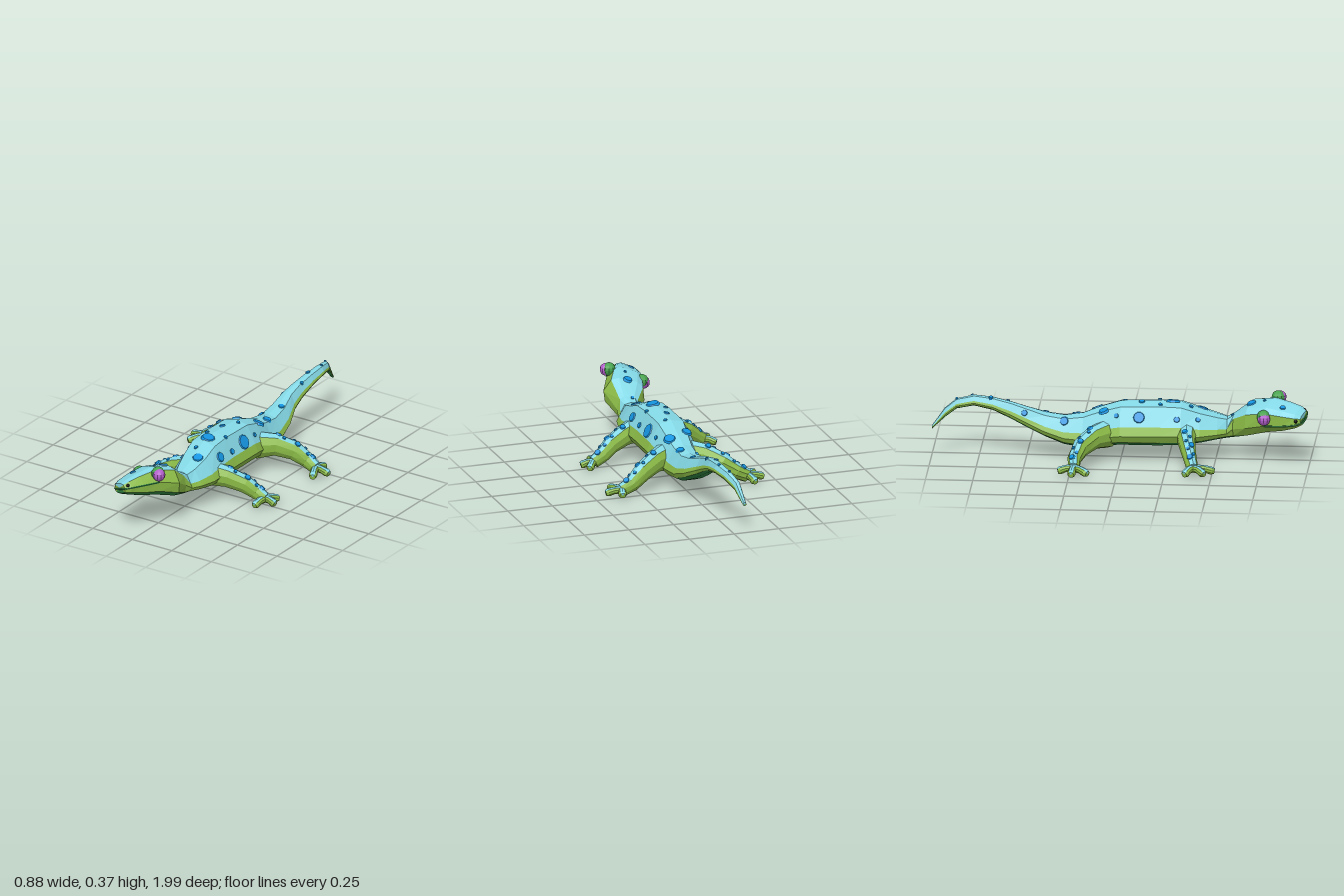
import * as THREE from 'three';

const mat = (color) => new THREE.MeshStandardMaterial({ color, flatShading: true });
const V = (x, y, z) => new THREE.Vector3(x, y, z);

export function createModel() {
  const root = new THREE.Group();
  const blue = mat(0x84d8e6), green = mat(0x8aba46), dark = mat(0x2f8040);
  const spotBlue = mat(0x1494e0), lidGreen = mat(0x45a24c), purple = mat(0xb35fcb), black = mat(0x101010);
  const blueSkins = [];

  const add = (parent, name, geo, material) => {
    const m = new THREE.Mesh(geo, material);
    m.name = name;
    parent.add(m);
    return m;
  };

  // Skin over closed cross-sections; each column of faces takes its own material
  function loft(name, sections, columnMaterial) {
    const g = new THREE.Group();
    g.name = name;
    const n = sections[0].length;
    const centre = (s) => Array(n).fill(s.reduce((a, p) => a.add(p), V(0, 0, 0)).divideScalar(n));
    const rows = [centre(sections[0]), ...sections, centre(sections[sections.length - 1])];
    const byMat = new Map();
    for (let j = 0; j < n; j++) {
      const m = columnMaterial(j), k = (j + 1) % n;
      if (!byMat.has(m)) byMat.set(m, []);
      const out = byMat.get(m);
      for (let i = 0; i + 1 < rows.length; i++) {
        const a = rows[i][j], b = rows[i][k], c = rows[i + 1][k], d = rows[i + 1][j];
        if (!c.equals(d)) out.push(a, d, c);
        if (!a.equals(b)) out.push(a, c, b);
      }
    }
    for (const [m, pts] of byMat) {
      const geo = new THREE.BufferGeometry().setFromPoints(pts);
      geo.computeVertexNormals();
      const part = m === blue ? 'Back' : m === green ? 'Side' : 'Belly';
      const mesh = add(g, name + part, geo, m);
      if (m === blue) blueSkins.push(mesh);
    }
    root.add(g);
  }

  // Body from tail tip to snout: x, z, bottom, top, half width, yaw, roll
  const stations = [
    [-0.06, -0.998, 0.152, 0.17, 0.01], [-0.045, -0.93, 0.215, 0.265, 0.02],
    [-0.015, -0.87, 0.255, 0.308, 0.024], [0.005, -0.78, 0.268, 0.324, 0.03],
    [0, -0.68, 0.248, 0.315, 0.037], [-0.01, -0.58, 0.205, 0.295, 0.043],
    [-0.015, -0.5, 0.165, 0.272, 0.054], [-0.005, -0.4, 0.115, 0.24, 0.078],
    [0, -0.3, 0.075, 0.225, 0.09], [0, -0.2, 0.06, 0.24, 0.1],
    [0, -0.1, 0.075, 0.28, 0.12], [-0.005, 0, 0.085, 0.312, 0.138],
    [-0.005, 0.2, 0.085, 0.318, 0.138], [0, 0.32, 0.09, 0.312, 0.14],
    [0.01, 0.42, 0.1, 0.275, 0.13], [0.018, 0.51, 0.115, 0.245, 0.1],
    [0.02, 0.56, 0.12, 0.23, 0.068], [0.02, 0.6, 0.125, 0.25, 0.063, -0.15, 0.08],
    [0.01, 0.69, 0.15, 0.315, 0.112, -0.3, 0.25], [-0.03, 0.795, 0.183, 0.336, 0.1, -0.38, 0.34],
    [-0.064, 0.88, 0.203, 0.322, 0.09, -0.38, 0.34], [-0.088, 0.945, 0.225, 0.305, 0.075, -0.38, 0.34],
    [-0.098, 0.972, 0.238, 0.29, 0.052, -0.38, 0.34],
  ];
  const mirrorRing = (half) => [[0, 1], ...half, ...half.slice().reverse().map(([x, y]) => [-x, y])];
  const bodyRing = mirrorRing([[0.5, 0.93], [0.86, 0.5], [1, 0.3], [0.85, 0.13], [0.4, 0]]);
  const headRing = mirrorRing([[0.45, 0.99], [0.78, 0.87], [1, 0.45], [0.8, 0.12], [0.4, 0]]);
  const sections = stations.map(([x, z, lo, hi, w, yaw = 0, roll = 0]) => {
    const turn = new THREE.Euler(0, yaw, roll, 'YXZ');
    return (yaw ? headRing : bodyRing).map(([u, v]) =>
      V(u * w, (v - 0.5) * (hi - lo), 0).applyEuler(turn).add(V(x, (lo + hi) / 2, z)));
  });
  loft('body', sections, (j) => (j < 2 || j > 8 ? blue : j < 4 || j > 6 ? green : dark));

  // Mouth line round the snout
  const snout = sections.slice(-4);
  const lip = [...snout.map((s) => s[3]), ...snout.slice().reverse().map((s) => s[8])];
  add(root, 'mouth', new THREE.TubeGeometry(new THREE.CatmullRomCurve3(lip, false, 'catmullrom', 0.1), 24, 0.005, 5), dark);

  // Eyes and nostrils
  const ball = (name, x, y, z, r, m) =>
    add(root, name, new THREE.SphereGeometry(r, 10, 8), m).position.set(x, y, z);
  ball('leftEyelid', 0.047, 0.333, 0.826, 0.036, lidGreen);
  ball('leftEye', 0.06, 0.33, 0.836, 0.034, purple);
  ball('rightEyelid', -0.113, 0.27, 0.76, 0.036, lidGreen);
  ball('rightEye', -0.124, 0.26, 0.763, 0.034, purple);
  ball('leftNostril', -0.046, 0.293, 0.972, 0.01, black);
  ball('rightNostril', -0.145, 0.258, 0.932, 0.01, black);

  // Tapered limb along points of x, y, z, radius, with a blue stripe on top
  function limb(name, path, tall) {
    const pts = path.map(([x, y, z]) => V(x, y, z));
    const rings = path.map(([, , , r], i) => {
      const t = pts[Math.min(i + 1, pts.length - 1)].clone().sub(pts[Math.max(i - 1, 0)]).normalize();
      const side = V(0, 1, 0).cross(t).normalize();
      const up = t.clone().cross(side);
      return Array.from({ length: 10 }, (_, k) => {
        const a = (k * Math.PI) / 5;
        return pts[i].clone().addScaledVector(side, r * Math.sin(a)).addScaledVector(up, tall * r * Math.cos(a));
      });
    });
    loft(name, rings, (j) => (j === 0 || j === 9 ? blue : green));
  }

  // Legs, each with its own pose, and toes given by their end points
  const legs = {
    frontLeft: {
      path: [[0.06, 0.155, 0.35, 0.06], [0.15, 0.14, 0.315, 0.049], [0.235, 0.107, 0.28, 0.042], [0.29, 0.066, 0.255, 0.035], [0.34, 0.037, 0.248, 0.03]],
      toes: [[0.385, 0.185], [0.41, 0.255], [0.33, 0.335]],
    },
    frontRight: {
      path: [[-0.06, 0.155, 0.35, 0.06], [-0.15, 0.14, 0.355, 0.047], [-0.225, 0.11, 0.37, 0.04], [-0.275, 0.072, 0.385, 0.034], [-0.32, 0.04, 0.4, 0.031]],
      toes: [[-0.388, 0.36], [-0.375, 0.465], [-0.31, 0.515]],
    },
    hindLeft: {
      path: [[0.06, 0.145, -0.09, 0.065], [0.145, 0.145, -0.15, 0.052], [0.23, 0.112, -0.2, 0.045], [0.295, 0.064, -0.225, 0.036], [0.35, 0.035, -0.222, 0.031]],
      toes: [[0.368, -0.285], [0.438, -0.215], [0.39, -0.132]],
    },
    hindRight: {
      path: [[-0.06, 0.145, -0.07, 0.065], [-0.15, 0.145, -0.14, 0.052], [-0.225, 0.112, -0.2, 0.045], [-0.29, 0.068, -0.228, 0.036], [-0.35, 0.037, -0.228, 0.031]],
      toes: [[-0.368, -0.31], [-0.438, -0.235], [-0.412, -0.15]],
    },
  };
  const spots = [];
  for (const [name, { path, toes }] of Object.entries(legs)) {
    limb(name + 'Leg', path, 1.2);
    const [x, y, z] = path[4];
    toes.forEach(([tx, tz], i) => limb(`${name}Toe${i + 1}`, [
      [x, y, z, 0.022], [(x + tx) / 2, y, (z + tz) / 2, 0.02],
      [x + (tx - x) * 0.85, 0.028, z + (tz - z) * 0.85, 0.022], [tx, 0.025, tz, 0.016]], 1));
    // Spots down the leg
    for (let i = 0; i < 7; i++) {
      const f = 1.1 + i * 0.42, k = Math.floor(f), p = path[k], q = path[Math.min(k + 1, 4)];
      spots.push([p[0] + (q[0] - p[0]) * (f - k), p[2] + (q[2] - p[2]) * (f - k) + (i % 2 ? 0.012 : -0.01), i % 3 ? 0.011 : 0.018]);
    }
  }

  // Back spots: x, z, radius
  spots.push(
    [-0.1, 0.1, 0.034], [0.095, 0.08, 0.045], [0, 0.275, 0.04], [0.037, 0.43, 0.032], [-0.06, -0.09, 0.03],
    [0.05, -0.13, 0.035], [0.03, -0.24, 0.026], [-0.05, -0.3, 0.026], [-0.05, -0.51, 0.018], [0.015, -0.4, 0.018],
    [-0.01, -0.69, 0.014], [-0.01, 0.69, 0.027], [-0.09, 0.86, 0.018], [-0.02, 0.11, 0.018], [0.1, 0.31, 0.03],
    [-0.1, 0.3, 0.018], [-0.015, 0.37, 0.013], [-0.05, 0.21, 0.013], [0.06, 0.2, 0.012], [0.07, 0.63, 0.01],
    [0, 0.59, 0.01], [-0.075, 0.41, 0.015], [-0.02, 0.76, 0.009], [0.01, -0.6, 0.011], [0.01, -0.79, 0.009],
    [-0.02, -0.87, 0.008], [0.1, 0.2, 0.018], [-0.09, -0.02, 0.014], [0.02, 0.02, 0.012], [0.09, -0.03, 0.014]);

  // Drop each spot on to the blue skin as a thin domed disc
  const spotGroup = new THREE.Group();
  spotGroup.name = 'spots';
  const ray = new THREE.Raycaster();
  for (const [x, z, r] of spots) {
    ray.set(V(x, 1, z), V(0, -1, 0));
    const hit = ray.intersectObjects(blueSkins, false)[0];
    if (!hit) continue;
    const disc = add(spotGroup, 'spot', new THREE.CylinderGeometry(r * 0.8, r, 0.012, 10), spotBlue);
    disc.position.copy(hit.point);
    disc.quaternion.setFromUnitVectors(V(0, 1, 0), hit.face.normal);
  }
  root.add(spotGroup);
  return root;
}
